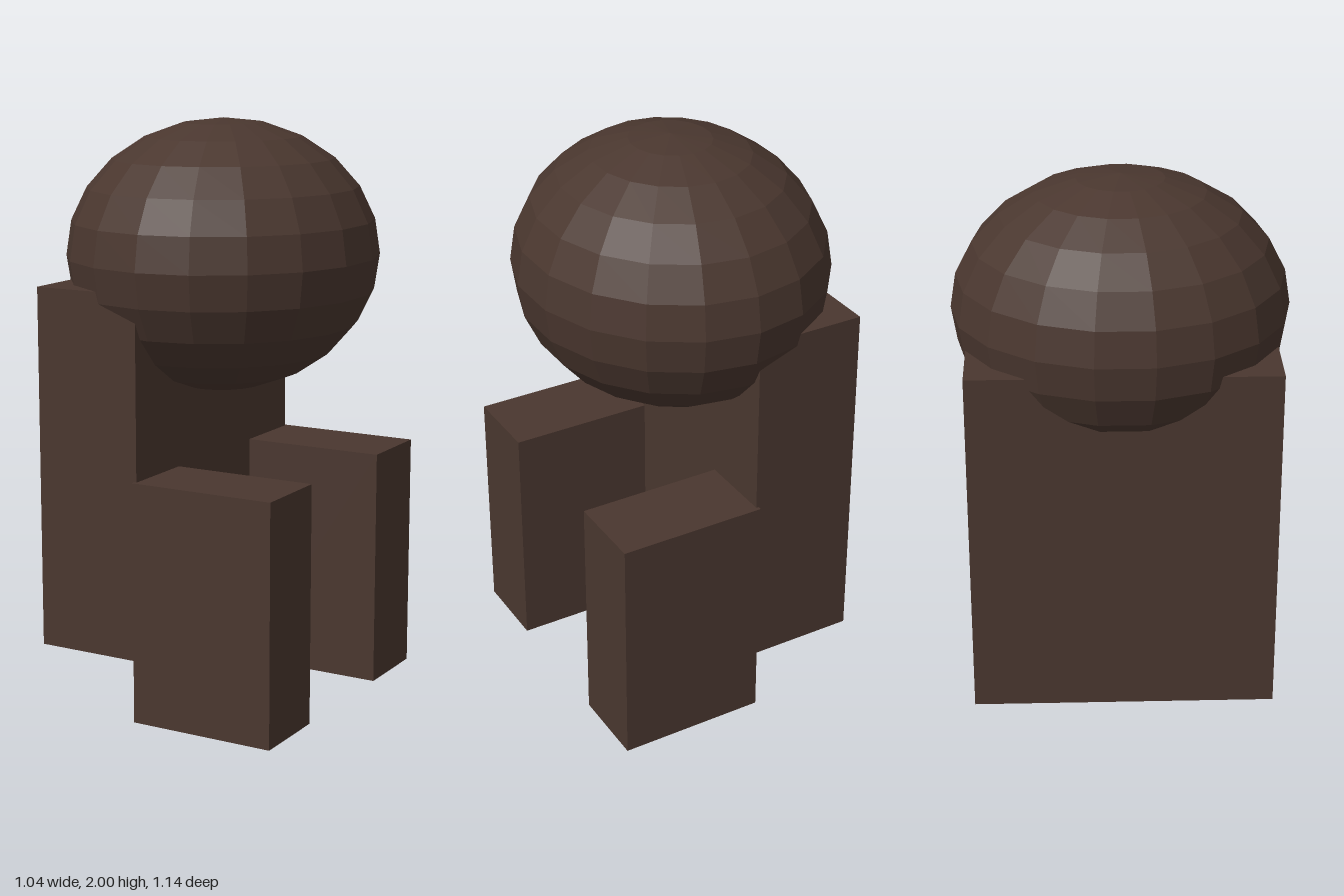
import * as THREE from 'three';

const brown = new THREE.MeshStandardMaterial({ color: 0x4a372f, flatShading: true });
brown.name = 'dark brown';

// Box spanning the given minimum and maximum corners
function block(name, [x0, y0, z0], [x1, y1, z1]) {
  const mesh = new THREE.Mesh(new THREE.BoxGeometry(x1 - x0, y1 - y0, z1 - z0), brown);
  mesh.position.set((x0 + x1) / 2, (y0 + y1) / 2, (z0 + z1) / 2);
  mesh.name = name;
  return mesh;
}

export function createModel() {
  const model = new THREE.Group();
  model.name = 'blockFigure';

  // Upright slab
  model.add(block('backSlab', [-0.418, 0.212, -0.518], [-0.034, 1.455, 0.518]));

  // Pair of standing blocks
  model.add(block('frontLeg', [-0.043, 0, 0.247], [0.476, 0.831, 0.531]));
  model.add(block('backLeg', [-0.043, 0, -0.531], [0.476, 0.831, -0.247]));

  // Faceted, slightly flattened ball resting on the slab
  const ball = new THREE.SphereGeometry(1, 18, 12);
  ball.rotateY(Math.PI / 2);
  ball.scale(0.528, 0.465, 0.571);
  const head = new THREE.Mesh(ball, brown);
  head.position.y = 1.535;
  head.name = 'head';
  model.add(head);

  return model;
}
